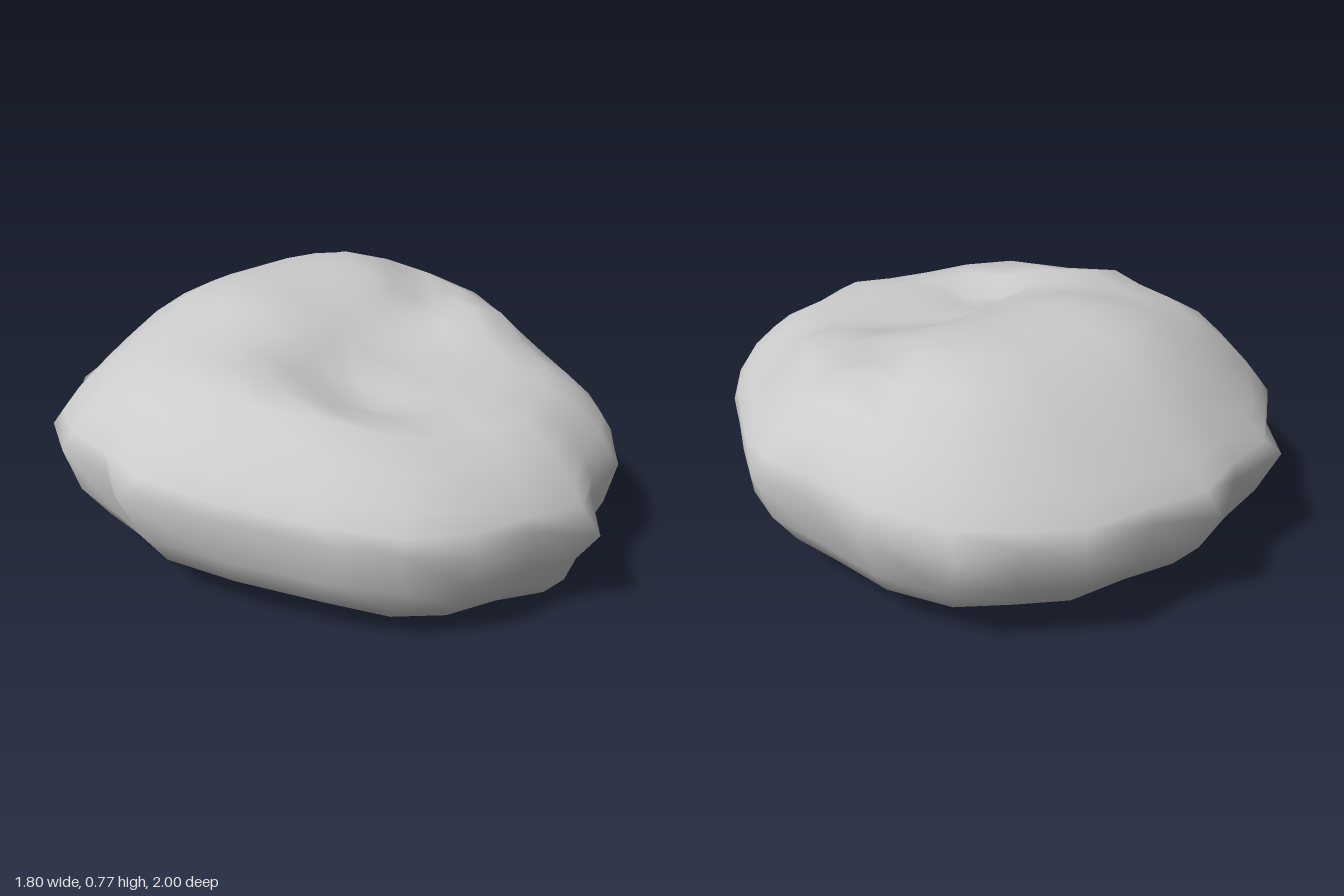
import * as THREE from 'three';

// Widest outline as (x, z), from the front tip round past +x
const OUTLINE = [
  [0, 1], [0.16, 0.87], [0.37, 0.84], [0.46, 0.77], [0.56, 0.66], [0.65, 0.53], [0.75, 0.32],
  [0.83, 0.16], [0.9, 0], [0.84, -0.2], [0.84, -0.44], [0.72, -0.7], [0.55, -0.77], [0.44, -0.9],
  [0.17, -0.91], [0, -1], [-0.18, -0.91], [-0.42, -0.91], [-0.54, -0.77], [-0.73, -0.64],
  [-0.83, -0.44], [-0.83, -0.2], [-0.9, -0.07], [-0.8, 0.2], [-0.63, 0.57], [-0.53, 0.7],
  [-0.36, 0.84], [-0.14, 0.87],
];
const COUNT = OUTLINE.length;

// Outline with blunted tips for the rings above and below the widest line
const ROUNDED = OUTLINE.map((point, j) => {
  const before = OUTLINE[(j + COUNT - 1) % COUNT], after = OUTLINE[(j + 1) % COUNT];
  const mean = point.map((v, axis) => 0.5 * v + 0.25 * (before[axis] + after[axis]));
  const limit = Math.min(1, Math.hypot(...point) / Math.hypot(...mean));
  return mean.map((v) => v * limit);
});

// Rings as (scale, share of the height) below and above the widest line
const LOWER = [[0.45, 0.02], [0.71, 0.1], [0.89, 0.34], [0.98, 0.62]];
const UPPER = [[0.99, 0.2], [0.94, 0.42], [0.84, 0.72], [0.72, 0.93], [0.58, 1], [0.43, 1], [0.29, 1], [0.14, 1]];

// Lumps and dents on the top: x, z, height, radius
const BUMPS = [
  [-0.52, 0.1, 0.04, 0.17], [-0.45, 0.42, 0.07, 0.13], [0.49, 0.21, 0.07, 0.12],
  [0.5, -0.07, -0.07, 0.12], [0.05, 0.12, -0.03, 0.18], [-0.23, 0.25, -0.045, 0.13],
  [0.62, 0.4, -0.05, 0.08], [0.62, -0.35, -0.04, 0.15],
];

const step = (a, b, v) => {
  const t = Math.min(1, Math.max(0, (v - a) / (b - a)));
  return t * t * (3 - 2 * t);
};

// Low front shelf rising gently to a broad hump at the back, lower towards -x
function topHeight(x, z) {
  let h = 0.6 + 0.17 * step(0.36, -0.32, z) - 0.13 * step(-0.4, -0.9, z);
  h -= 0.085 * step(-0.12, -0.5, x) * step(0.1, -0.3, z);
  for (const [bx, bz, height, radius] of BUMPS) {
    h += height * Math.exp(-((x - bx) ** 2 + (z - bz) ** 2) / (radius * radius));
  }
  return h;
}

const middleHeight = (z) => 0.4 - (z > 0 ? 0.09 : 0.04) * z * z;

// Front rings are pushed outwards for a steeper front wall
const frontScale = (scale, z, amount) => scale + (1 - scale) * amount * Math.max(0, z) ** 2;

function createRockGeometry() {
  const positions = [];
  const index = [];

  for (const [scale, share] of LOWER) {
    for (const [x, z] of ROUNDED) {
      const s = frontScale(scale, z, 0.7);
      positions.push(x * s, middleHeight(z) * share, z * s);
    }
  }
  for (const [x, z] of OUTLINE) positions.push(x, middleHeight(z), z);
  for (const [scale, share] of UPPER) {
    for (const [x, z] of ROUNDED) {
      const s = frontScale(scale, z, 0.35 * scale ** 2);
      const low = middleHeight(z);
      positions.push(x * s, low + (topHeight(x * s, z * s) - low) * share, z * s);
    }
  }

  // Walls between rings
  const rings = LOWER.length + 1 + UPPER.length;
  for (let i = 0; i < rings - 1; i++) {
    for (let j = 0; j < COUNT; j++) {
      const a = i * COUNT + j, b = i * COUNT + (j + 1) % COUNT;
      index.push(a, b, a + COUNT, b, b + COUNT, a + COUNT);
    }
  }
  // Close the underside and the top with fans
  const bottom = rings * COUNT, top = bottom + 1, last = (rings - 1) * COUNT;
  positions.push(0, 0, 0, 0, topHeight(0, 0), 0);
  for (let j = 0; j < COUNT; j++) {
    const k = (j + 1) % COUNT;
    index.push(bottom, k, j, top, last + j, last + k);
  }

  const geometry = new THREE.BufferGeometry();
  geometry.setAttribute('position', new THREE.Float32BufferAttribute(positions, 3));
  geometry.setIndex(index);
  geometry.computeVertexNormals();
  return geometry;
}

export function createModel() {
  const group = new THREE.Group();
  group.name = 'boulder';
  const rock = new THREE.Mesh(createRockGeometry(), new THREE.MeshStandardMaterial({ color: 0xcccccc }));
  rock.name = 'rock';
  group.add(rock);
  return group;
}
